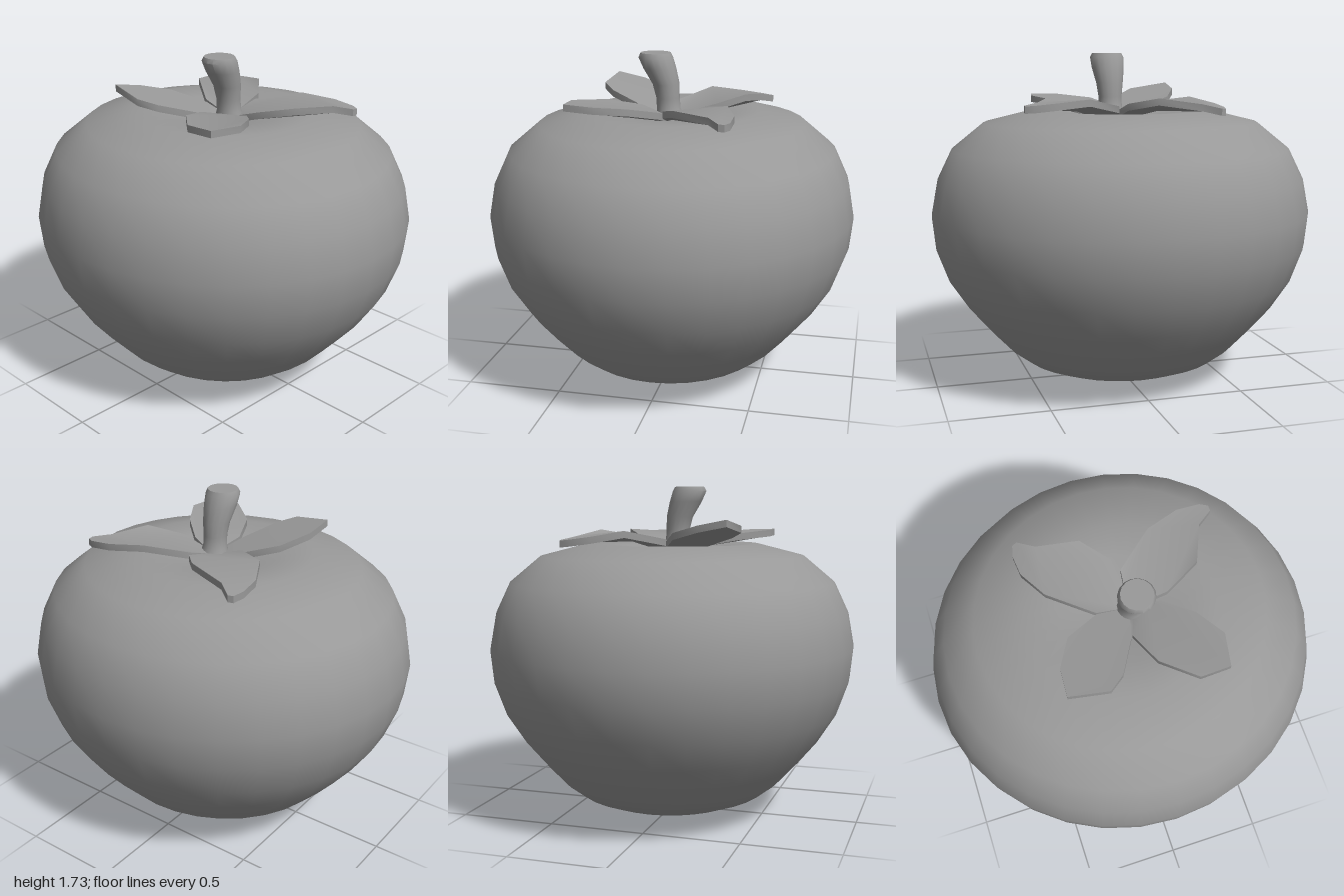
import * as THREE from 'three';
import { toCreasedNormals } from 'three/addons/utils/BufferGeometryUtils.js';

const material = new THREE.MeshStandardMaterial({ color: 0x999999 });
const STEM_Z = 0.055;

function addMesh(group, name, geometry) {
  const mesh = new THREE.Mesh(geometry, material);
  mesh.name = name;
  group.add(mesh);
}

// Round fruit, slightly deeper than wide, with a shallow dip on top
function fruitGeometry() {
  const profile = [
    [0, 0], [0.13, 0.012], [0.27, 0.035], [0.39, 0.07], [0.5, 0.115], [0.59, 0.185],
    [0.69, 0.295], [0.785, 0.41], [0.88, 0.56], [0.94, 0.73], [0.957, 0.9], [0.925, 1.075],
    [0.85, 1.235], [0.69, 1.37], [0.45, 1.432], [0.28, 1.422], [0.14, 1.385], [0, 1.36],
  ].map(([r, y]) => new THREE.Vector2(r, y));
  return new THREE.LatheGeometry(profile, 32).scale(1, 1, 1.045);
}

// Leaning stalk: each ring has a centre x, a height and a radius
function stemGeometry() {
  const rings = [
    [-0.077, 1.727, 0.078], [-0.076, 1.705, 0.089], [-0.055, 1.65, 0.085], [-0.022, 1.57, 0.07],
    [-0.012, 1.5, 0.061], [-0.008, 1.44, 0.062], [0.005, 1.37, 0.09],
  ];
  const last = rings.length - 1;
  const geometry = new THREE.CylinderGeometry(1, 1, 1, 16, last);
  const p = geometry.attributes.position;
  for (let i = 0; i < p.count; i++) {
    const [cx, y, r] = rings[Math.round((0.5 - p.getY(i)) * last)];
    p.setXYZ(i, cx + p.getX(i) * r, y, STEM_Z + p.getZ(i) * r);
  }
  return toCreasedNormals(geometry, 0.9);
}

// Leaf cut from an outline in x and z, bent by heights given at even steps from the stem
function sepalGeometry(outline, heights) {
  const shape = new THREE.Shape(outline.map(([x, z]) => new THREE.Vector2(x, z)));
  const geometry = new THREE.ExtrudeGeometry(shape, { depth: 0.035, bevelEnabled: false });
  geometry.rotateX(Math.PI / 2);
  const p = geometry.attributes.position;
  for (let i = 0; i < p.count; i++) {
    const step = Math.hypot(p.getX(i), p.getZ(i) - STEM_Z) / 0.2;
    const k = Math.min(Math.floor(step), heights.length - 2);
    const y = THREE.MathUtils.lerp(heights[k], heights[k + 1], step - k);
    p.setY(i, p.getY(i) + y);
  }
  return toCreasedNormals(geometry, 0.9);
}

export function createModel() {
  const group = new THREE.Group();
  group.name = 'fruit';
  addMesh(group, 'body', fruitGeometry());
  addMesh(group, 'stem', stemGeometry());

  // Four sepals around the stem, each with its own outline and bend
  addMesh(group, 'sepalBackLeft', sepalGeometry(
    [[0, 0.05], [0, -0.12], [0.15, -0.33], [0.3, -0.41], [0.41, -0.42], [0.47, -0.405], [0.48, -0.38],
      [0.42, -0.3], [0.37, -0.09], [0.24, 0.03], [0.08, 0.05]], [1.4, 1.465, 1.505, 1.465]));
  addMesh(group, 'sepalBackRight', sepalGeometry(
    [[0, 0.05], [0, -0.12], [-0.09, -0.29], [-0.24, -0.37], [-0.39, -0.38], [-0.415, -0.18],
      [-0.35, -0.1], [-0.17, 0]], [1.4, 1.45, 1.505, 1.565]));
  addMesh(group, 'sepalFrontRight', sepalGeometry(
    [[0, 0.06], [-0.16, 0.01], [-0.33, 0.08], [-0.47, 0.24], [-0.465, 0.39], [-0.3, 0.42],
      [-0.15, 0.33], [-0.03, 0.2], [-0.01, 0.14]], [1.4, 1.46, 1.495, 1.505]));
  addMesh(group, 'sepalFrontLeft', sepalGeometry(
    [[0, 0.06], [0, 0.24], [0.09, 0.42], [0.28, 0.5], [0.34, 0.58], [0.37, 0.58], [0.39, 0.54],
      [0.39, 0.42], [0.33, 0.25], [0.18, 0.06], [0.08, 0.05]], [1.4, 1.465, 1.505, 1.48]));
  return group;
}
